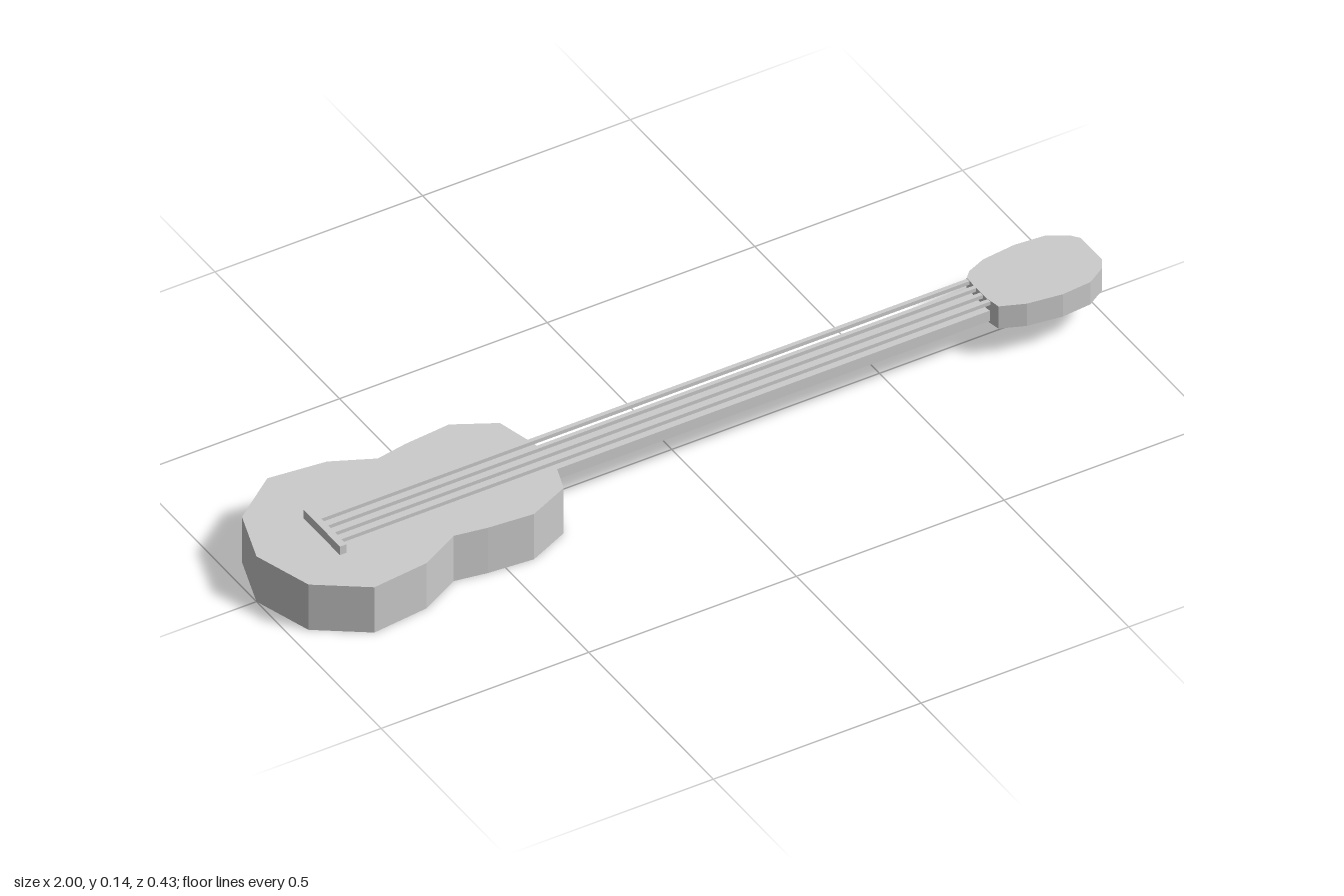
import * as THREE from 'three';

const material = new THREE.MeshStandardMaterial({ color: 0xcccccc, flatShading: true });

// Outlines as [x, z], seen from above
const BODY = [
  [-1, 0], [-0.957, -0.13], [-0.845, -0.215], [-0.71, -0.2], [-0.615, -0.155], [-0.54, -0.168],
  [-0.43, -0.178], [-0.337, -0.128], [-0.312, -0.03], [-0.312, 0.055], [-0.337, 0.128], [-0.435, 0.172],
  [-0.54, 0.163], [-0.615, 0.15], [-0.71, 0.2], [-0.845, 0.215], [-0.957, 0.137],
];
const HEAD = [
  [0.728, -0.03], [0.745, -0.048], [0.79, -0.067], [0.87, -0.076], [0.94, -0.07], [0.985, -0.044],
  [1, -0.025], [1, 0.06], [0.985, 0.085], [0.94, 0.113], [0.87, 0.119], [0.79, 0.108],
  [0.735, 0.086], [0.728, 0.05],
];

export function createModel() {
  const group = new THREE.Group();

  const add = (name, geometry) => {
    const mesh = new THREE.Mesh(geometry, material);
    mesh.name = name;
    group.add(mesh);
  };

  // Horizontal slab between two heights, with an optional hole
  const slab = (name, outline, y0, y1, hole) => {
    const shape = new THREE.Shape(outline.map(([x, z]) => new THREE.Vector2(x, -z)));
    if (hole) shape.holes.push(hole);
    const geometry = new THREE.ExtrudeGeometry(shape, { depth: y1 - y0, bevelEnabled: false, curveSegments: 10 });
    geometry.rotateX(-Math.PI / 2).translate(0, y0, 0);
    add(name, geometry);
  };

  // Box given by its limits on each axis
  const box = (name, x0, x1, y0, y1, z0, z1) => {
    const geometry = new THREE.BoxGeometry(x1 - x0, y1 - y0, z1 - z0);
    geometry.translate((x0 + x1) / 2, (y0 + y1) / 2, (z0 + z1) / 2);
    add(name, geometry);
  };

  // Body: solid lower part, upper part pierced by the sound hole
  const soundHole = new THREE.Path();
  soundHole.absarc(-0.49, 0.003, 0.06, 0, Math.PI * 2, true);
  slab('bodyBase', BODY, 0, 0.06);
  slab('bodyTop', BODY, 0.06, 0.118, soundHole);

  // Neck and head
  box('neck', -0.325, 0.74, 0.085, 0.112, -0.028, 0.06);
  slab('head', HEAD, 0.08, 0.138);

  // Bridge and four strings
  box('bridge', -0.85, -0.834, 0.117, 0.14, -0.061, 0.085);
  for (const z of [-0.024, 0.003, 0.03, 0.057]) {
    box('string', -0.836, 0.735, 0.128, 0.137, z - 0.005, z + 0.005);
  }

  return group;
}
